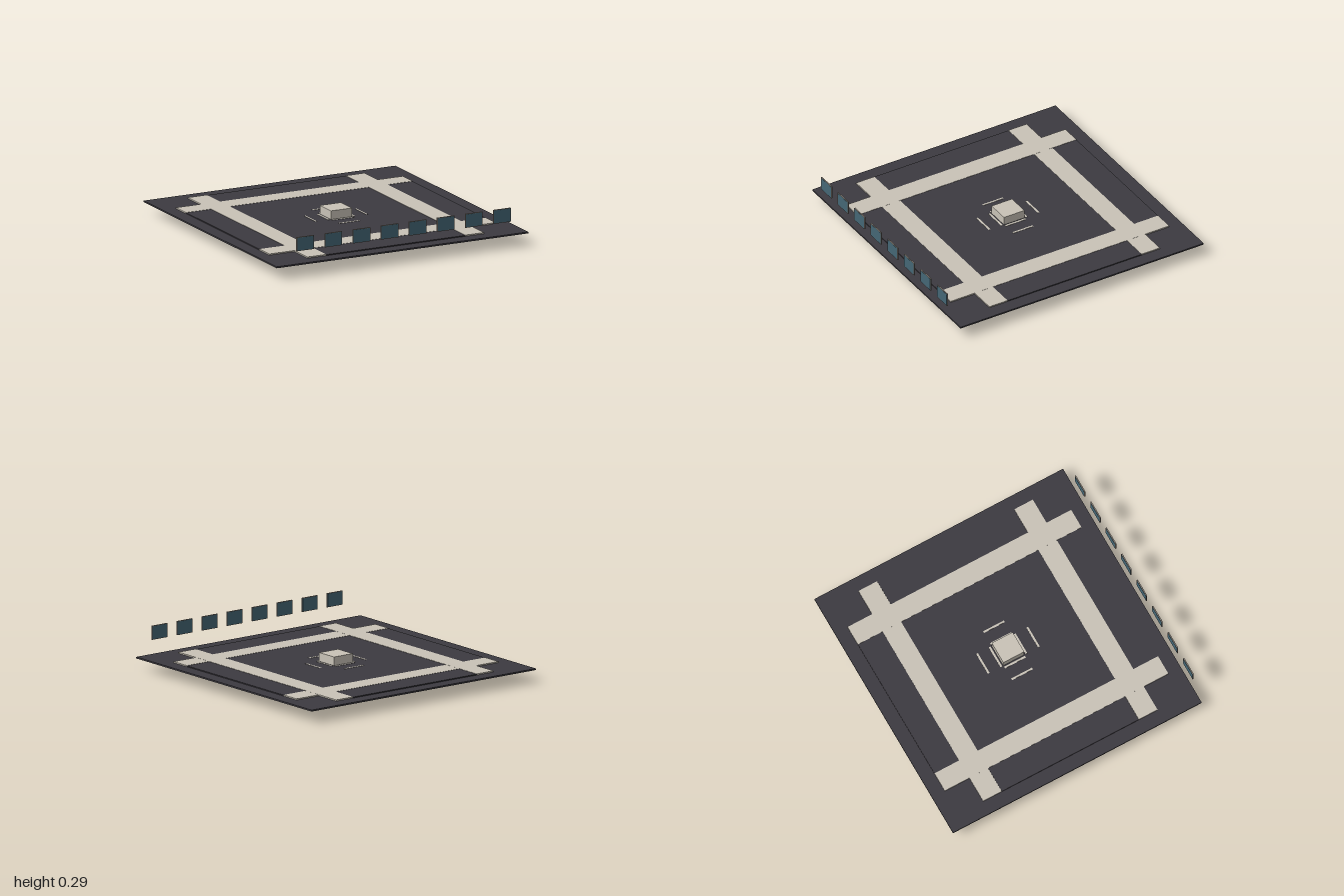
import * as THREE from 'three';

const material = (name, color) => {
  const m = new THREE.MeshStandardMaterial({ color });
  m.name = name;
  return m;
};

export function createModel() {
  const model = new THREE.Group();
  const slate = material('slate', 0x3c3a40);
  const stone = material('stone', 0xc9c3b7);
  const glass = material('blue glass', 0x446675);
  const trim = material('window trim', 0x8f877e);

  // Box given by its minimum and maximum corners
  const box = (name, mat, x0, x1, y0, y1, z0, z1, parent = model) => {
    const mesh = new THREE.Mesh(new THREE.BoxGeometry(x1 - x0, y1 - y0, z1 - z0), mat);
    mesh.position.set((x0 + x1) / 2, (y0 + y1) / 2, (z0 + z1) / 2);
    mesh.name = name;
    parent.add(mesh);
  };

  // Ground slab and the raised cross-shaped paving
  const cz = -0.01;
  box('groundSlab', slate, -0.99, 0.99, 0.086, 0.097, cz - 0.99, cz + 0.99);
  box('longPaving', slate, -0.55, 0.55, 0.097, 0.104, cz - 0.89, cz + 0.89);
  for (const s of [-1, 1]) {
    const x = s * 0.72;
    box('sidePaving', slate, x - 0.17, x + 0.17, 0.097, 0.104, cz - 0.545, cz + 0.545);
  }

  // Crossing stone paths
  for (const s of [-1, 1]) {
    const c = s * 0.62;
    box('longPath', stone, c - 0.074, c + 0.074, 0.097, 0.106, cz - 0.89, cz + 0.89);
    box('crossPath', stone, -0.89, 0.89, 0.097, 0.1055, cz + c - 0.074, cz + c + 0.074);
  }

  // Central block with two rings of narrow stone strips
  box('centralBlock', stone, -0.083, 0.083, 0, 0.166, cz - 0.083, cz + 0.083);
  for (const d of [0.1, 0.2]) {
    for (const s of [-1, 1]) {
      const c = s * d, h = 0.007;
      box('crossStrip', stone, -0.084, 0.084, 0.1, 0.106, cz + c - h, cz + c + h);
      box('sideStrip', stone, c - h, c + h, 0.1, 0.106, cz - 0.083, cz + 0.083);
    }
  }

  // Row of floating windows along the front
  for (let i = 0; i < 8; i++) {
    const pane = new THREE.Group();
    pane.name = 'window';
    pane.position.set((i - 3.5) * 0.221, 0.244, 0.995);
    box('windowFrame', trim, -0.068, 0.068, -0.05, 0.05, -0.004, 0.004, pane);
    box('windowGlass', glass, -0.064, 0.064, -0.046, 0.046, -0.005, 0.005, pane);
    model.add(pane);
  }
  return model;
}
